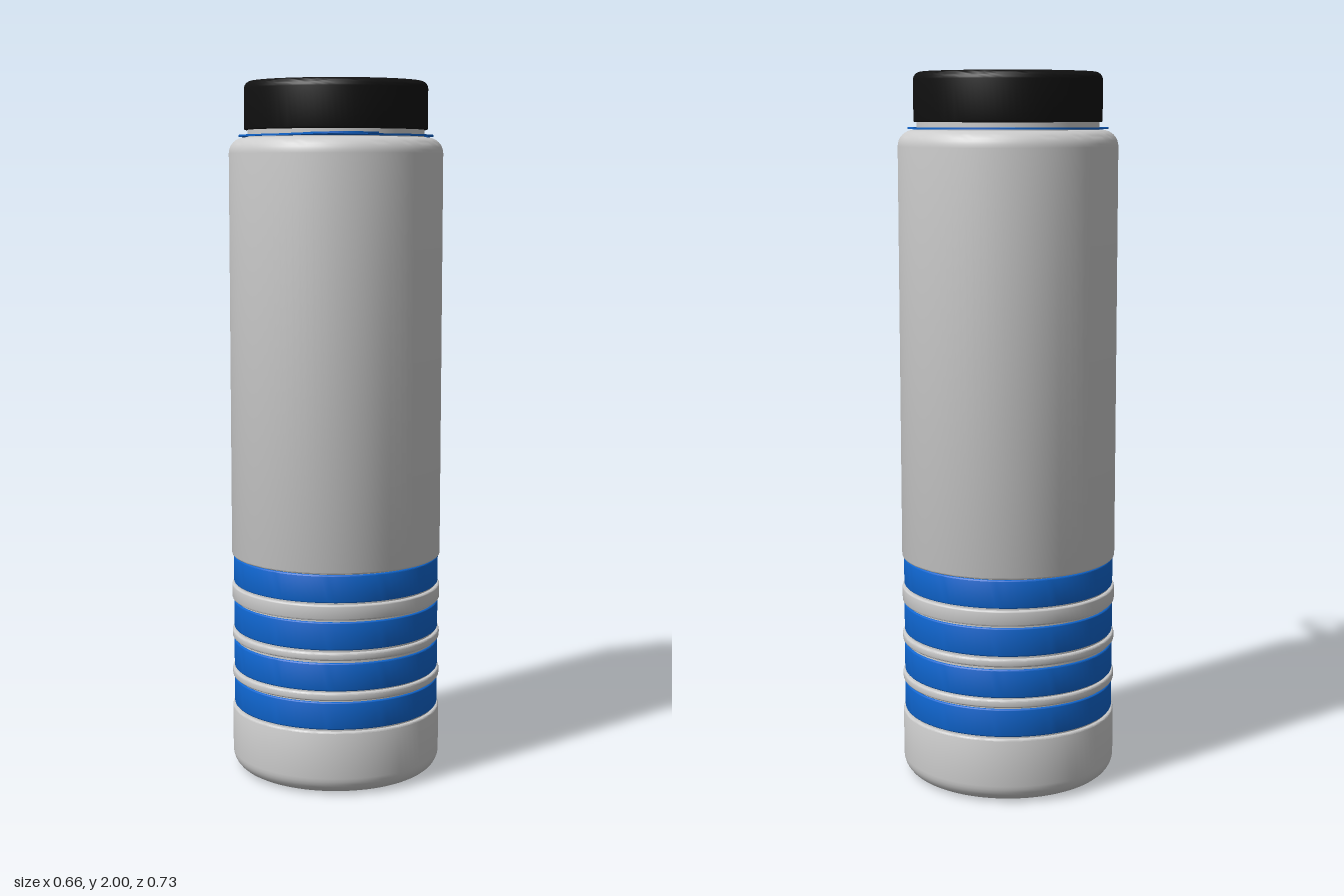
import * as THREE from 'three';
import { toCreasedNormals } from 'three/addons/utils/BufferGeometryUtils.js';

const grey = new THREE.MeshStandardMaterial({ color: 0xcccccc });
const blue = new THREE.MeshStandardMaterial({ color: 0x0f66d0 });
const black = new THREE.MeshStandardMaterial({ color: 0x111111 });

// Turned solid from corners [radius, height, fillet], listed bottom to top
function turned(name, corners, material) {
  const points = [];
  corners.forEach(([r, y, fillet = 0], i) => {
    const p = new THREE.Vector2(r, y);
    if (!fillet) return points.push(p);
    const toward = ([a, b]) => new THREE.Vector2(a, b).sub(p).setLength(fillet);
    const d1 = toward(corners[i - 1]), d2 = toward(corners[i + 1]);
    const centre = p.clone().add(d1).add(d2);
    const steps = fillet > 0.01 ? 8 : 3;
    for (let k = 0; k <= steps; k++) {
      const t = (k / steps) * Math.PI / 2;
      points.push(centre.clone()
        .addScaledVector(d2, -Math.cos(t)).addScaledVector(d1, -Math.sin(t)));
    }
  });
  const geometry = toCreasedNormals(new THREE.LatheGeometry(points, 96), 0.6);
  const mesh = new THREE.Mesh(geometry, material);
  mesh.name = name;
  return mesh;
}

export function createModel() {
  const bottle = new THREE.Group();
  bottle.name = 'bottle';
  bottle.position.set(-0.023, 0, -0.06);

  // Body with a grooved lower part, ridges standing between the grooves
  const R = 0.305, core = 0.294, e = 0.005;
  const ridges = [[0.277, 0.3], [0.393, 0.416], [0.509, 0.553]];
  const profile = [[0, 0], [R, 0, 0.05], [R, 0.187, e], [core, 0.187]];
  for (const [low, high] of ridges) {
    profile.push([core, low], [R, low, e], [R, high, e], [core, high]);
  }
  profile.push([core, 0.64], [R, 0.64, e], [R, 1.843, 0.045],
    [0.252, 1.843], [0.252, 1.88], [0, 1.88]);
  bottle.add(turned('body', profile, grey));

  // Coloured grip bands seated in the grooves
  for (const [low, high] of [[0.192, 0.272], [0.304, 0.385], [0.422, 0.503], [0.558, 0.638]]) {
    bottle.add(turned('gripBand',
      [[0.29, low], [0.3, low, 0.004], [0.3, high, 0.004], [0.29, high]], blue));
  }

  // Screw cap
  bottle.add(turned('cap', [[0, 1.864], [0.261, 1.864, 0.004], [0.261, 2, 0.022], [0, 2]], black));

  // Flat neck ring with a carrying tab
  const rad = THREE.MathUtils.degToRad;
  const outline = new THREE.Shape();
  outline.absarc(0, 0, 0.277, rad(-22), rad(266), false);
  outline.lineTo(0.193, -0.39);
  outline.splineThru([
    [0.203, -0.414], [0.243, -0.423], [0.293, -0.414], [0.333, -0.38], [0.35, -0.335],
    [0.338, -0.3], [0.303, -0.273], [0.258, -0.23], [0.241, -0.185], [0.246, -0.142],
    [0.257, -0.104],
  ].map(([x, y]) => new THREE.Vector2(x, y)));
  const neckHole = new THREE.Path().absarc(0, 0, 0.262, 0, Math.PI * 2, true);
  const fingerHole = new THREE.Path().absarc(0.263, -0.345, 0.06, rad(127), rad(405), false);
  fingerHole.closePath();
  outline.holes.push(neckHole, fingerHole);
  const flat = new THREE.ExtrudeGeometry(outline,
    { depth: 0.005, bevelEnabled: false, curveSegments: 64 });
  flat.rotateX(-Math.PI / 2);
  const strap = new THREE.Mesh(toCreasedNormals(flat, 0.6), blue);
  strap.name = 'carryRing';
  strap.position.y = 1.845;
  bottle.add(strap);

  const model = new THREE.Group();
  model.add(bottle);
  return model;
}
